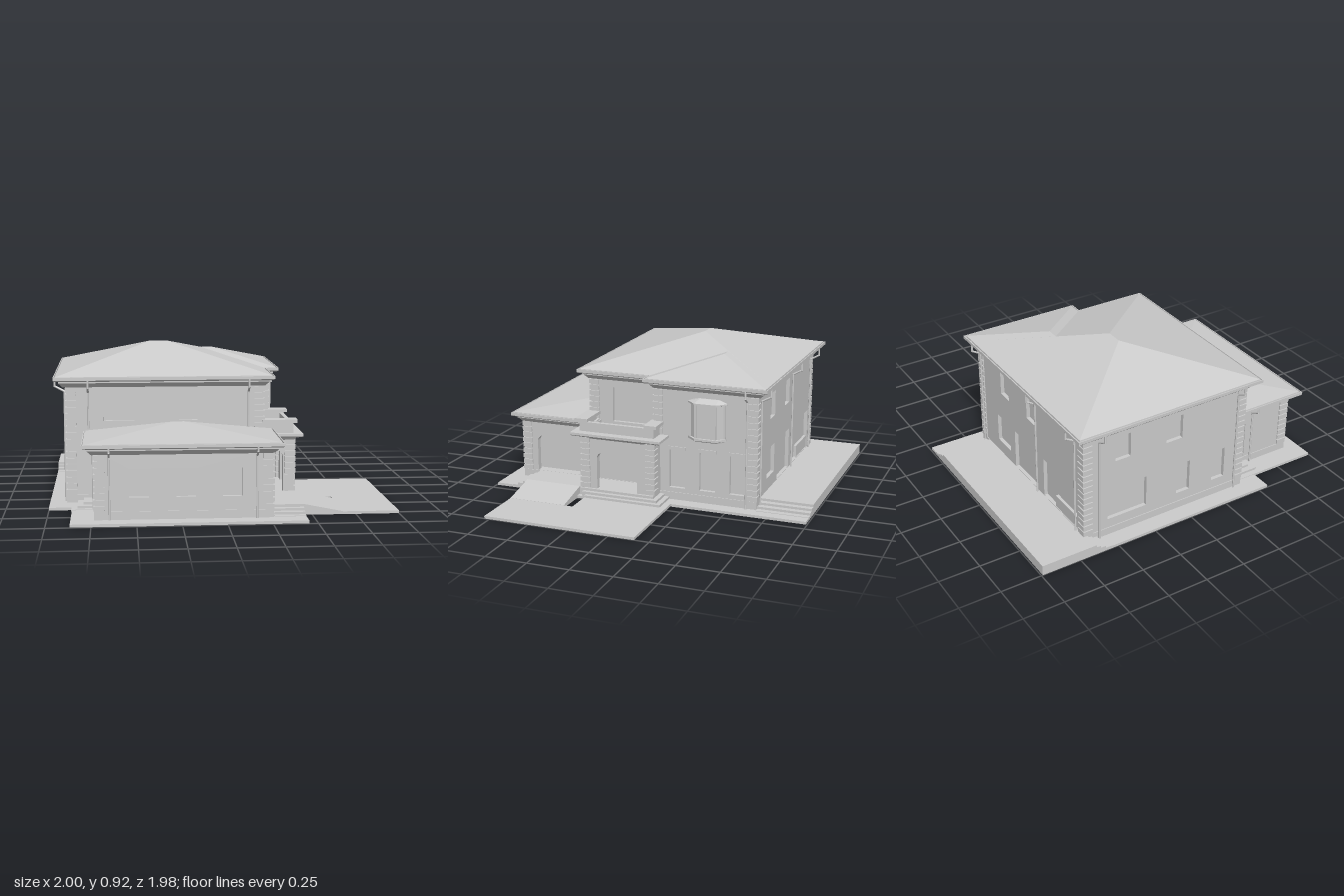
import * as THREE from 'three';

const mat = new THREE.MeshStandardMaterial({ color: 0xcccccc, flatShading: true, side: THREE.DoubleSide });

function add(parent, name, geometry) {
  const mesh = new THREE.Mesh(geometry, mat);
  mesh.name = name;
  parent.add(mesh);
  return mesh;
}

// box given by its limits
function box(parent, name, x0, x1, y0, y1, z0, z1) {
  add(parent, name, new THREE.BoxGeometry(x1 - x0, y1 - y0, z1 - z0))
    .position.set((x0 + x1) / 2, (y0 + y1) / 2, (z0 + z1) / 2);
}

// flat plate from a plan outline of [x, z] points, with optional holes
const plan = (points) => points.map(([x, z]) => new THREE.Vector2(x, -z));
function plate(parent, name, points, holes, y0, y1) {
  const shape = new THREE.Shape(plan(points));
  holes.forEach((h) => shape.holes.push(new THREE.Path(plan(h))));
  add(parent, name, new THREE.ExtrudeGeometry(shape, { depth: y1 - y0, bevelEnabled: false })
    .rotateX(-Math.PI / 2).translate(0, y0, 0));
}

// plan of the house walls, grown outwards by o
const footprint = (o) => [[-0.895 - o, -0.665 - o], [0.34 + o, -0.665 - o], [0.34 + o, -0.02 + o], [0.26 + o, -0.02 + o],
  [0.26 + o, 0.893 + o], [-0.73 - o, 0.893 + o], [-0.73 - o, 0.425 + o], [-0.895 - o, 0.425 + o]];

// skin over closed rings of equal point count, capped at both ends
function loft(parent, name, rings) {
  const pos = [];
  const tri = (...pts) => pts.forEach((p) => pos.push(...p));
  for (let r = 0; r < rings.length - 1; r++) {
    const lo = rings[r], up = rings[r + 1], n = lo.length;
    for (let i = 0; i < n; i++) {
      const j = (i + 1) % n;
      tri(lo[i], lo[j], up[j]);
      tri(lo[i], up[j], up[i]);
    }
  }
  const first = rings[0], last = rings[rings.length - 1];
  for (let i = 1; i < first.length - 1; i++) {
    tri(first[0], first[i + 1], first[i]);
    tri(last[0], last[i], last[i + 1]);
  }
  const geo = new THREE.BufferGeometry();
  geo.setAttribute('position', new THREE.Float32BufferAttribute(pos, 3));
  geo.computeVertexNormals();
  add(parent, name, geo);
}

const rect = (x0, x1, z0, z1, y, inset = 0) => [
  [x0 + inset, y, z1 - inset], [x1 - inset, y, z1 - inset],
  [x1 - inset, y, z0 + inset], [x0 + inset, y, z0 + inset]];

// cornice, soffit and gutter trough below a roof edge at height y
const eaves = (x0, x1, z0, z1, y) => [[-0.062, 0.054], [-0.036, 0.03], [-0.028, 0.03], [-0.025, 0.012], [-0.018, 0],
  [0, 0], [0, 0.005], [-0.008, 0.006], [-0.008, 0.013], [0.002, 0.014]].map(([dy, i]) => rect(x0, x1, z0, z1, y + dy, i));

function outline(target, [a0, a1, y0, y1, arch = 0]) {
  target.moveTo(a0, y0);
  target.lineTo(a1, y0);
  target.lineTo(a1, y1 - arch);
  if (arch) target.absellipse((a0 + a1) / 2, y1 - arch, (a1 - a0) / 2, arch, 0, Math.PI, false);
  target.lineTo(a0, y1 - arch);
  target.lineTo(a0, y0);
  return target;
}

// wall with real openings; side 0 front, 1 right (+x), 2 back, 3 left (-x); limits are world coordinates along the wall
const T = 0.035;
function wall(parent, name, side, d, a0, a1, y0, y1, holes = [], open = false) {
  const group = new THREE.Group();
  group.name = name;
  group.rotation.y = [0, 1, 2, -1][side] * Math.PI / 2;
  const s = side === 1 || side === 2 ? -1 : 1;
  const local = ([p, q, ...rest]) => [Math.min(s * p, s * q), Math.max(s * p, s * q), ...rest];
  const shape = outline(new THREE.Shape(), local([a0, a1, y0, y1]));
  holes.map(local).forEach((h) => {
    shape.holes.push(outline(new THREE.Path(), h));
    if (!open) box(group, 'pane', h[0], h[1], h[2], h[3], d - T - 0.004, d - T + 0.012);
  });
  const geo = new THREE.ExtrudeGeometry(shape, { depth: T, bevelEnabled: false, curveSegments: 16 });
  geo.translate(0, 0, d - T);
  add(group, 'wallPanel', geo);
  parent.add(group);
}

// stack of equal corner stones; sx, sz point outwards
function quoins(parent, x, z, sx, sz, y0, y1) {
  const n = Math.round((y1 - y0) / 0.038), h = (y1 - y0) / n, out = 0.008, len = 0.055;
  const xs = [x + sx * out, x - sx * len].sort((a, b) => a - b);
  const zs = [z + sz * out, z - sz * len].sort((a, b) => a - b);
  for (let i = 0; i < n; i++) {
    box(parent, 'cornerStone', xs[0], xs[1], y0 + i * h + 0.004, y0 + (i + 1) * h - 0.004, zs[0], zs[1]);
  }
}

function pipe(parent, points) {
  for (let i = 0; i < points.length - 1; i++) {
    const a = new THREE.Vector3(...points[i]), b = new THREE.Vector3(...points[i + 1]);
    const dir = b.clone().sub(a);
    const mesh = add(parent, 'downpipe', new THREE.CylinderGeometry(0.006, 0.006, dir.length() + 0.006, 8));
    mesh.position.copy(a).lerp(b, 0.5);
    mesh.quaternion.setFromUnitVectors(new THREE.Vector3(0, 1, 0), dir.normalize());
  }
}

export function createModel() {
  const g = new THREE.Group();
  g.name = 'house';

  // paving around the house, with a slot beside the ramp
  plate(g, 'paving', [[-1, -0.992], [-1, 0.56], [-0.865, 0.56], [-0.865, 0.992], [0.45, 0.992], [0.45, 0.783],
    [1, 0.783], [1, -0.16], [0.43, -0.16], [0.43, -0.992]],
  [[[0.49, 0.37], [0.676, 0.37], [0.676, 0.425], [0.49, 0.425]], footprint(-0.008)], 0, 0.016);

  // hollow plinth and ground floor
  plate(g, 'plinth', footprint(0.005), [footprint(-0.008)], 0.002, 0.062);
  plate(g, 'groundFloor', footprint(-0.004), [], 0.05, 0.061);

  // garage ramp and landing
  const ramp = new THREE.Shape([[0.45, 0.01], [0.676, 0.01], [0.676, 0.017], [0.45, 0.063]].map((p) => new THREE.Vector2(...p)));
  add(g, 'ramp', new THREE.ExtrudeGeometry(ramp, { depth: 0.358, bevelEnabled: false }).translate(0, 0, 0.425));
  box(g, 'landing', 0.26, 0.45, 0.01, 0.063, 0.4, 0.783);

  // terrace and flights of steps
  plate(g, 'terrace', [[-1, -0.992], [0.26, -0.992], [0.26, -0.66], [-0.89, -0.66], [-0.89, -0.645], [-1, -0.645]], [], 0.001, 0.062);
  for (let i = 0; i < 3; i++) {
    const y = 0.047 - i * 0.014, o = i * 0.035;
    box(g, 'terraceStep', 0.26, 0.295 + o, 0.01, y, -0.992, -0.67);
    box(g, 'terraceSideStep', -1, -0.9, 0.01, y, -0.65, -0.62 + o);
    box(g, 'landingStep', 0.27, 0.45, 0.01, y, 0.78, 0.815 + o);
    box(g, 'wingSideStep', -0.8 - o, -0.73, 0.01, y, 0.44, 0.565 + o);
    box(g, 'porticoStep', 0.26, 0.46 + i * 0.025, 0.01, 0.06 - i * 0.015, -0.06 - i * 0.03, 0.42 - i * 0.025);
  }

  // main house walls
  wall(g, 'frontWall', 0, 0.425, -0.895, 0.26, 0.06, 0.72, [[-0.68, -0.5, 0.5, 0.655], [-0.24, -0.13, 0.5, 0.655]]);
  wall(g, 'backWall', 2, 0.665, -0.895, 0.34, 0.06, 0.72, [[-0.03, 0.07, 0.5, 0.655], [-0.35, -0.25, 0.5, 0.655],
    [-0.03, 0.13, 0.14, 0.32], [-0.36, -0.09, 0.065, 0.32], [-0.82, -0.44, 0.065, 0.32]]);
  box(g, 'lowPanel', -0.82, -0.57, 0.06, 0.14, -0.66, -0.635);
  wall(g, 'leftWall', 3, 0.895, -0.665, 0.425, 0.06, 0.72, [[-0.51, -0.25, 0.12, 0.32], [-0.04, 0.05, 0.12, 0.32],
    [0.21, 0.3, 0.12, 0.32], [-0.46, -0.36, 0.5, 0.655], [-0.12, -0.01, 0.5, 0.655]]);
  wall(g, 'rightWall', 1, 0.26, -0.05, 0.425, 0.06, 0.72, [[0.03, 0.28, 0.44, 0.655]]);
  const tall = [-0.12, -0.31, -0.5];
  wall(g, 'extensionWall', 1, 0.34, -0.665, -0.02, 0.06, 0.72, tall.map((z) => [z - 0.1, z, 0.09, 0.33]));
  tall.forEach((z) => box(g, 'lintel', 0.33, 0.346, 0.33, 0.35, z - 0.105, z + 0.005));
  wall(g, 'extensionReturn', 0, -0.02, 0.22, 0.34, 0.06, 0.72);

  // front wing
  wall(g, 'wingFront', 0, 0.893, -0.73, 0.26, 0.06, 0.41,
    [-0.54, -0.28, -0.02].map((x) => [x, x + 0.11, 0.14, 0.3]));
  wall(g, 'wingLeft', 3, 0.73, 0.42, 0.893, 0.06, 0.41, [[0.47, 0.58, 0.065, 0.3]]);
  wall(g, 'wingRight', 1, 0.26, 0.42, 0.893, 0.06, 0.41, [[0.46, 0.8, 0.064, 0.32, 0.06]], true);
  box(g, 'garageDoor', 0.17, 0.19, 0.06, 0.4, 0.43, 0.85);

  // entrance portico, open through arches
  wall(g, 'porticoRight', 1, 0.445, -0.06, 0.41, 0.055, 0.39, [[0.05, 0.31, 0.06, 0.315, 0.06]], true);
  wall(g, 'porticoFront', 0, 0.41, 0.25, 0.445, 0.055, 0.39, [[0.265, 0.38, 0.06, 0.315, 0.05]], true);
  wall(g, 'porticoBack', 2, 0.06, 0.25, 0.445, 0.055, 0.39);
  loft(g, 'porticoCornice', [[0.37, 0.05], [0.39, 0.035], [0.393, 0.01], [0.4, 0], [0.415, 0]]
    .map(([y, i]) => rect(0.2, 0.492, -0.115, 0.465, y, i)));

  // balcony parapet
  box(g, 'parapet', 0.415, 0.44, 0.41, 0.473, -0.05, 0.41);
  [[-0.08, 0.0], [0.365, 0.445]].forEach(([z0, z1]) => {
    box(g, 'parapet', 0.25, 0.44, 0.41, 0.478, z0 + 0.022, z1 - 0.022);
    box(g, 'parapetCap', 0.25, 0.46, 0.478, 0.497, z0, z1);
  });

  // oriel window
  const bay = (y, o) => [[0.32, y, -0.255 + o], [0.345, y, -0.255 + o], [0.382 + o, y, -0.3 + o * 0.4],
    [0.382 + o, y, -0.42 - o * 0.4], [0.345, y, -0.465 - o], [0.32, y, -0.465 - o]];
  loft(g, 'orielWindow', [[0.397, -0.035], [0.417, 0.015], [0.43, 0.015], [0.43, 0], [0.63, 0], [0.635, 0.018],
    [0.645, 0.018], [0.664, -0.035]].map(([y, o]) => bay(y, o)));
  bay(0, 0.002).slice(1, 5).forEach(([x, , z]) => box(g, 'orielPost', x - 0.006, x + 0.006, 0.425, 0.635, z - 0.006, z + 0.006));

  // main hip roof, and the smaller hip over the extension
  const E = 0.762, R = 0.924, r = 0.862;
  loft(g, 'mainRoof', [...eaves(-0.97, 0.32, -0.737, 0.492, E),
    [[-0.39, R, -0.122], [-0.29, R, -0.122], [-0.29, R, -0.122], [-0.39, R, -0.122]]]);
  loft(g, 'extensionEaves', eaves(0.1, 0.4, -0.737, 0.032, E));
  loft(g, 'extensionRoof', [
    [[0.306, E + 0.002, 0.018], [0.386, E + 0.002, 0.018], [0.386, E + 0.002, -0.723], [0.306, E + 0.002, -0.723]],
    [[-0.065, r, -0.352], [0.015, r, -0.352], [0.015, r, -0.352], [-0.065, r, -0.352]]]);

  // low wing roof leaning on the main house
  loft(g, 'wingRoof', [...eaves(-0.8, 0.32, 0.36, 0.952, 0.442), Array(4).fill([-0.24, 0.495, 0.395])]);

  // corner stones
  const top = 0.7, low = 0.385;
  [[-0.895, 0.425, -1, 1, 0.06, top], [-0.895, -0.665, -1, -1, 0.06, top], [0.34, -0.665, 1, -1, 0.06, top],
    [0.34, -0.02, 1, 1, 0.42, top], [0.26, 0.425, 1, 1, 0.45, top], [-0.73, 0.893, -1, 1, 0.06, low],
    [0.26, 0.893, 1, 1, 0.06, low], [0.445, 0.41, 1, 1, 0.06, low], [0.445, -0.06, 1, -1, 0.06, low]]
    .forEach((q) => quoins(g, ...q));

  // downpipes
  [-0.77, 0.17].forEach((x) => pipe(g, [[x, 0.745, 0.485], [x, 0.7, 0.485], [x, 0.67, 0.438], [x, 0.46, 0.438]]));
  [-0.65, 0.17].forEach((x) => pipe(g, [[x, 0.43, 0.947], [x, 0.4, 0.947], [x, 0.37, 0.906], [x, 0.016, 0.906]]));
  [-0.38, -0.82, 0.3].forEach((x) => pipe(g, [[x, 0.745, -0.732], [x, 0.7, -0.732], [x, 0.67, -0.678], [x, 0.016, -0.678]]));
  [-0.57, 0.37].forEach((z) => pipe(g, [[-0.965, 0.745, z], [-0.965, 0.7, z], [-0.908, 0.67, z], [-0.908, 0.016, z]]));
  pipe(g, [[-0.795, 0.43, 0.62], [-0.795, 0.4, 0.62], [-0.743, 0.37, 0.62], [-0.743, 0.016, 0.62]]);
  pipe(g, [[0.395, 0.745, -0.605], [0.395, 0.7, -0.605], [0.353, 0.67, -0.605], [0.353, 0.016, -0.605]]);

  return g;
}
